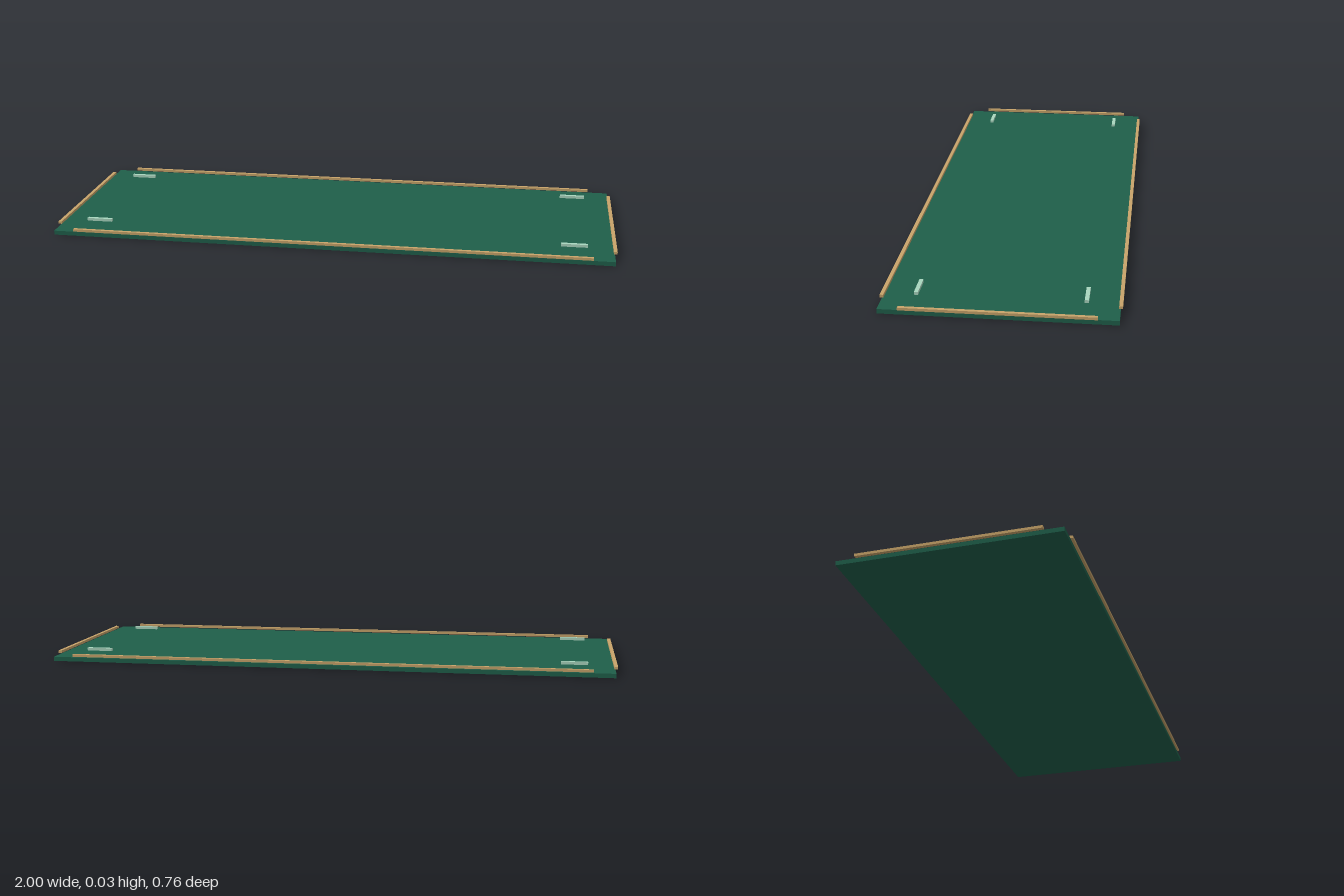
import * as THREE from 'three';

export function createModel() {
  const model = new THREE.Group();
  model.name = 'panel';
  const green = new THREE.MeshStandardMaterial({ color: 0x1f5f4a });
  const tan = new THREE.MeshStandardMaterial({ color: 0xc8a46a });
  const pale = new THREE.MeshStandardMaterial({ color: 0xa9d6bf });

  // Box given by its size, centre in x and z, and its underside height
  const addBox = (name, material, [w, h, d], x, bottom, z) => {
    const mesh = new THREE.Mesh(new THREE.BoxGeometry(w, h, d), material);
    mesh.name = name;
    mesh.position.set(x, bottom + h / 2, z);
    model.add(mesh);
  };

  // Flat board
  addBox('board', green, [1.984, 0.015, 0.743], 0, 0, 0);

  for (const s of [1, -1]) {
    // Thin edge strips, just clear of the board
    addBox(s > 0 ? 'frontStrip' : 'backStrip', tan, [1.836, 0.009, 0.012], 0, 0.018, s * 0.372);
    addBox(s > 0 ? 'leftStrip' : 'rightStrip', tan, [0.012, 0.009, 0.612], s * 0.994, 0.018, 0);

    // Small bars near the corners
    for (const t of [1, -1]) {
      const name = (t > 0 ? 'front' : 'back') + (s > 0 ? 'Left' : 'Right') + 'Bar';
      addBox(name, pale, [0.092, 0.01, 0.013], s * 0.855, 0.024, t * 0.266);
    }
  }
  return model;
}
